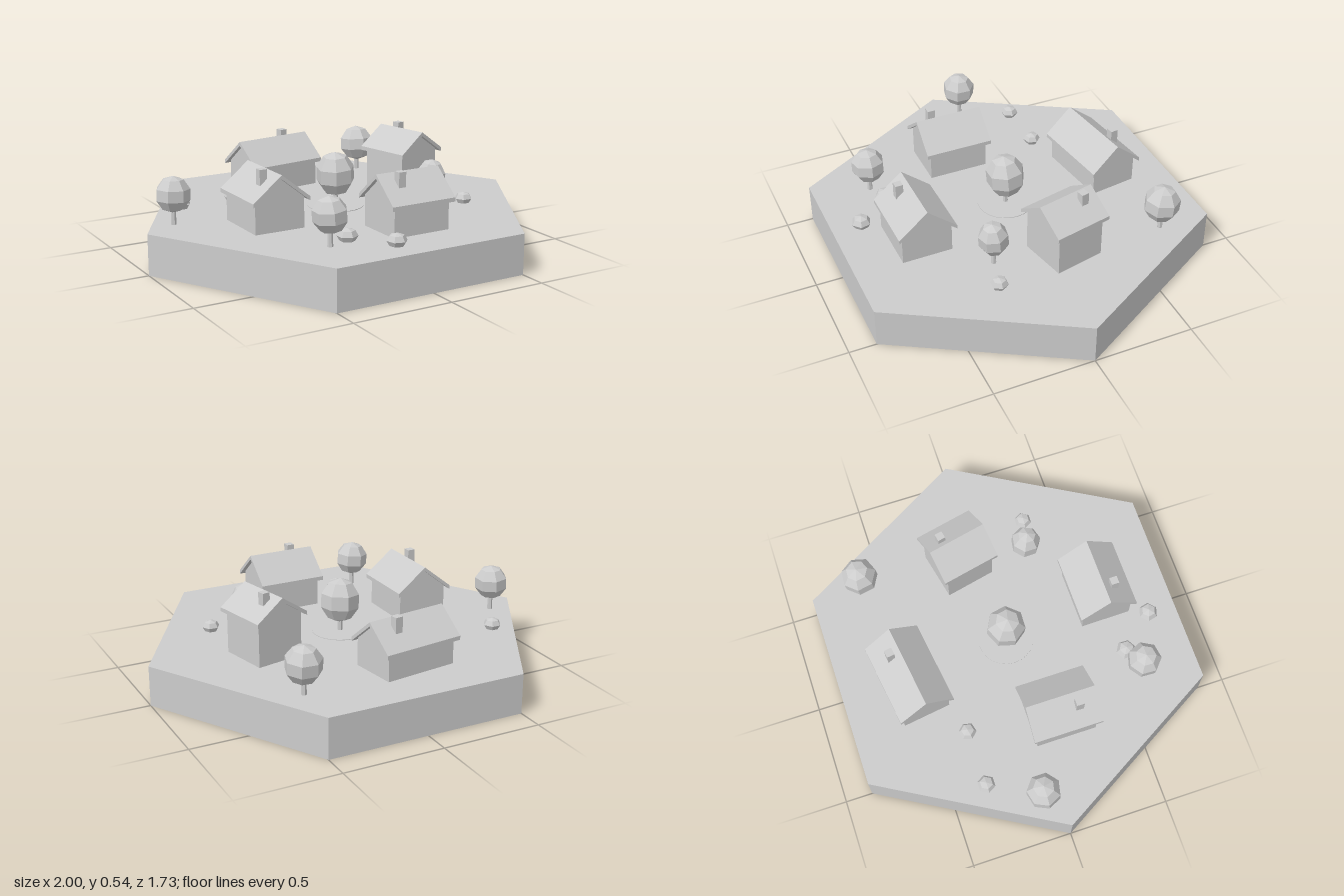
import * as THREE from 'three';

const GROUND = 0.2;

export function createModel() {
  const stone = new THREE.MeshStandardMaterial({ color: 0xcccccc, flatShading: true, side: THREE.DoubleSide });
  stone.name = 'plain grey';
  const model = new THREE.Group();
  model.name = 'villageTile';

  const add = (parent, name, geometry, x = 0, y = 0, z = 0) => {
    const mesh = new THREE.Mesh(geometry, stone);
    mesh.name = name;
    mesh.position.set(x, y, z);
    parent.add(mesh);
    return mesh;
  };

  // Hexagonal tile, open underneath
  add(model, 'tileSides', new THREE.CylinderGeometry(1, 1, GROUND, 6, 1, true, Math.PI / 2), 0, GROUND / 2, 0);
  add(model, 'ground', new THREE.CircleGeometry(1, 6).rotateX(-Math.PI / 2), 0, GROUND, 0);

  // Thin round plaza beneath the middle tree
  add(model, 'plaza', new THREE.CylinderGeometry(0.14, 0.14, 0.003, 24, 1, true), 0, GROUND + 0.0015, 0);
  add(model, 'plazaTop', new THREE.CircleGeometry(0.14, 24).rotateX(-Math.PI / 2), 0, GROUND + 0.003, 0);

  // Extrude a gable profile along the ridge, which runs along local x
  const alongRidge = (points, length) => {
    const shape = new THREE.Shape(points.map(p => new THREE.Vector2(...p)));
    return new THREE.ExtrudeGeometry(shape, { depth: length, bevelEnabled: false })
      .translate(0, 0, -length / 2).rotateY(Math.PI / 2);
  };

  const rectangle = (w, d, Type) => new Type([[-1, -1], [1, -1], [1, 1], [-1, 1]]
    .map(([a, b]) => new THREE.Vector2(a * w / 2, b * d / 2)));

  // House: length and width are those of the roof; chimney is [along, across, top]
  const house = ({ name, x, z, turn, length, width, ridge, eave, chimney }) => {
    const group = new THREE.Group();
    group.name = name;
    group.position.set(x, 0, z);
    group.rotation.y = turn;
    model.add(group);
    const half = width / 2, thick = 0.02;
    const wall = half - 0.02, wallLength = length - 0.045;
    const slope = (ridge - eave) / half;
    const wallTop = ridge - thick - slope * wall;
    add(group, 'walls', alongRidge([[-wall, GROUND], [wall, GROUND], [wall, wallTop],
      [0, ridge - thick], [-wall, wallTop]], wallLength));
    add(group, 'roof', alongRidge([[-half, eave - thick], [0, ridge - thick], [half, eave - thick],
      [half, eave], [0, ridge], [-half, eave]], length));
    const [along, across, top] = chimney;
    const base = ridge - slope * Math.abs(across) - 0.03;
    add(group, 'chimney', new THREE.BoxGeometry(0.038, top - base, 0.038), along, (top + base) / 2, across);
    // Wall footing showing through the underside of the ground
    const footing = rectangle(wallLength, wall * 2, THREE.Shape);
    footing.holes.push(rectangle(wallLength - 0.03, wall * 2 - 0.03, THREE.Path));
    add(group, 'footing', new THREE.ExtrudeGeometry(footing, { depth: 0.01, bevelEnabled: false })
      .rotateX(-Math.PI / 2), 0, GROUND - 0.011, 0);
  };

  house({ name: 'frontHouse', x: 0.087, z: 0.507, turn: 0.01, length: 0.345, width: 0.29,
    ridge: 0.477, eave: 0.355, chimney: [-0.073, 0.052, 0.49] });
  house({ name: 'rightHouse', x: -0.453, z: 0.118, turn: -Math.PI / 2, length: 0.345, width: 0.295,
    ridge: 0.473, eave: 0.355, chimney: [0.077, 0.055, 0.49] });
  house({ name: 'leftHouse', x: 0.455, z: -0.102, turn: -1.356, length: 0.298, width: 0.285,
    ridge: 0.523, eave: 0.425, chimney: [-0.067, -0.045, 0.54] });
  house({ name: 'backHouse', x: -0.075, z: -0.52, turn: 0.14, length: 0.42, width: 0.28,
    ridge: 0.457, eave: 0.34, chimney: [0.093, -0.05, 0.477] });

  // Trees: x, z, crown radius, crown centre height, crown half height, turn
  const trees = [
    [0, 0, 0.1, 0.36, 0.112, 0.2],
    [-0.83, -0.09, 0.086, 0.347, 0.088, 0.9],
    [0.49, -0.605, 0.092, 0.345, 0.094, 1.5],
    [0.405, 0.24, 0.076, 0.345, 0.09, 2.3],
    [-0.37, 0.585, 0.086, 0.347, 0.088, 3.1],
  ];
  trees.forEach(([x, z, r, y, h, turn]) => {
    const tree = new THREE.Group();
    tree.name = 'tree';
    tree.position.set(x, 0, z);
    model.add(tree);
    add(tree, 'trunk', new THREE.CylinderGeometry(0.01, 0.014, 0.11, 6), 0, 0.245, 0);
    const crown = add(tree, 'crown', new THREE.SphereGeometry(1, 7, 5).scale(r, h, r), 0, y, 0);
    crown.rotation.set(0.08 * Math.sin(turn * 3), turn, 0.08 * Math.cos(turn * 3));
  });

  // Bushes: x, z, radius
  const bushes = [
    [-0.685, -0.328, 0.045], [-0.408, -0.333, 0.044], [-0.257, 0.545, 0.05],
    [-0.105, 0.72, 0.049], [0.575, 0.285, 0.044],
  ];
  bushes.forEach(([x, z, r], i) => {
    const bush = add(model, 'bush', new THREE.SphereGeometry(1, 6, 4).scale(r, r * 0.72, r), x, 0.224, z);
    bush.rotation.y = i * 1.3;
  });

  return model;
}
